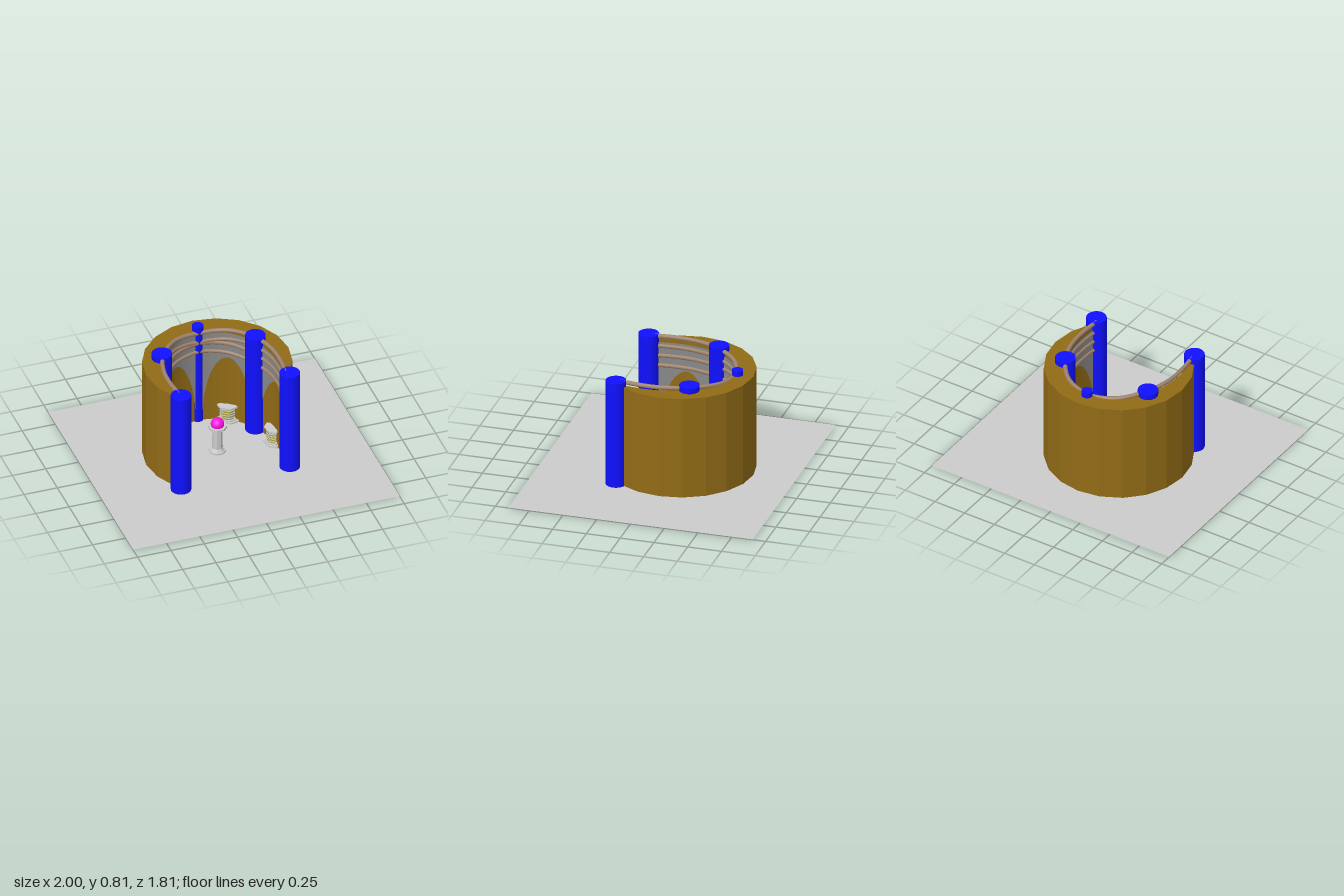
import * as THREE from 'three';

const CX = -0.03; // symmetry axis of the shrine
const mat = (color, extra = {}) => new THREE.MeshStandardMaterial({ color, ...extra });

// Inner wall line, traced from the left end round the back to the right end
const half = [[0.2, -0.4], [0.35, -0.225], [0.41, -0.05], [0.42, 0.1], [0.405, 0.27]];
const line = new THREE.CatmullRomCurve3([
  ...half.map(([x, z]) => new THREE.Vector3(CX - x, 0, z)).reverse(),
  new THREE.Vector3(CX, 0, -0.455),
  ...half.map(([x, z]) => new THREE.Vector3(CX + x, 0, z)),
]);
const along = (t) => line.getPoint((t + 1) / 2); // t: -1 left end, 0 back, 1 right end
const inward = (t) => {
  const d = line.getTangent((t + 1) / 2);
  return new THREE.Vector3(-d.z, 0, d.x).normalize();
};

export function createModel() {
  const model = new THREE.Group();
  const gold = mat(0x916b16, { side: THREE.DoubleSide });
  const blue = mat(0x1010ff);
  const brown = mat(0x9e826b);
  const grey = mat(0xcccccc, { flatShading: true });
  const white = mat(0xf2f2f2, { flatShading: true });
  const panelGrey = mat(0x888888, { side: THREE.DoubleSide });
  const olive = mat(0xa8a040, { flatShading: true });

  const add = (name, geometry, material, x = 0, y = 0, z = 0, parent = model) => {
    const mesh = new THREE.Mesh(geometry, material);
    mesh.name = name;
    mesh.position.set(x, y, z);
    parent.add(mesh);
    return mesh;
  };

  // Ground
  const ground = new THREE.PlaneGeometry(2, 1.81).rotateX(-Math.PI / 2);
  add('ground', ground, mat(0xcccccc, { side: THREE.DoubleSide }), 0, 0.002, 0);

  // Crescent wall: faceted outside, curved inside
  const outline = [];
  for (let i = -7; i <= 7; i++) {
    const a = (i * Math.PI) / 10;
    outline.push(new THREE.Vector2(CX + 0.533 * Math.sin(a), 0.06 + 0.533 * Math.cos(a)));
  }
  for (let i = 40; i >= 0; i--) {
    const p = along(i / 20 - 1);
    outline.push(new THREE.Vector2(p.x, -p.z));
  }
  const wall = new THREE.ExtrudeGeometry(new THREE.Shape(outline), { depth: 0.77, bevelEnabled: false });
  add('wall', wall.rotateX(-Math.PI / 2), gold);

  // Columns
  const columns = [
    [-0.43, 0.305, 0.073], [-0.385, -0.23, 0.073], [-0.03, -0.475, 0.04],
    [0.315, -0.225, 0.073], [0.39, 0.295, 0.073],
  ];
  for (const [x, z, r] of columns) {
    add('column', new THREE.CylinderGeometry(r, r, 0.81, 32), blue, x, 0.405, z);
  }

  // Each bay between columns: arched panel, four rails and a stand
  const bays = [[0, 0.4], [0.4, 1]];
  const rails = [[0.755, 0.79, 0.795], [0.68, 0.715, 0.72], [0.672, 0.645, 0.645], [0.6, 0.565, 0.57]];
  const standAt = [0.2, 0.64];
  for (const side of [-1, 1]) {
    bays.forEach(([a, b], bay) => {
      add('archPanel', archPanel(side * a, side * b), panelGrey);

      for (const heights of rails) {
        const pts = [];
        for (let i = 0; i <= 8; i++) {
          const t = side * (a + ((b - a) * i) / 8);
          const p = along(t).addScaledVector(inward(t), 0.004);
          p.y = THREE.MathUtils.lerp(heights[bay], heights[bay + 1], i / 8);
          pts.push(p);
        }
        add('rail', new THREE.TubeGeometry(new THREE.CatmullRomCurve3(pts), 24, 0.016, 10), brown);
      }

      const t = side * standAt[bay];
      const n = inward(t);
      const stand = makeStand(add, grey, olive);
      stand.position.copy(along(t)).addScaledVector(n, 0.022);
      stand.rotation.y = Math.atan2(n.x, n.z);
      model.add(stand);
    });
  }

  // Central pedestal with an orb
  const pedestal = new THREE.Group();
  pedestal.name = 'pedestal';
  pedestal.position.set(CX, 0, -0.055);
  model.add(pedestal);
  const tiers = [
    [0, 0.015, 0.062, 0.062], [0.015, 0.035, 0.052, 0.04], [0.035, 0.185, 0.038, 0.036],
    [0.185, 0.203, 0.038, 0.055], [0.203, 0.22, 0.068, 0.068],
  ];
  for (const [y0, y1, r0, r1] of tiers) {
    const tier = new THREE.CylinderGeometry(r1, r0, y1 - y0, 8).rotateY(Math.PI / 8);
    add('pedestalTier', tier, white, 0, (y0 + y1) / 2, 0, pedestal);
  }
  add('orb', new THREE.SphereGeometry(0.048, 32, 20), mat(0xff10e0), 0, 0.235, 0, pedestal);

  return model;
}

// Curved panel with an elliptical opening
function archPanel(t0, t1) {
  const steps = 48, pos = [], index = [];
  for (let i = 0; i <= steps; i++) {
    const s = i / steps;
    const t = t0 + (t1 - t0) * s;
    const p = along(t).addScaledVector(inward(t), 0.008);
    const k = (s - 0.5) / 0.44;
    const low = 0.54 * Math.sqrt(Math.max(0, 1 - k * k));
    pos.push(p.x, low, p.z, p.x, 0.75, p.z);
    if (i < steps) {
      const j = i * 2;
      index.push(j, j + 2, j + 1, j + 1, j + 2, j + 3);
    }
  }
  const g = new THREE.BufferGeometry();
  g.setAttribute('position', new THREE.Float32BufferAttribute(pos, 3));
  g.setIndex(index);
  g.computeVertexNormals();
  return g;
}

// Low hexagonal stand with a ribbed body, flattened against the wall
function makeStand(add, grey, olive) {
  const stand = new THREE.Group();
  stand.name = 'stand';
  const hex = (name, r, y0, y1, material) => {
    const g = new THREE.CylinderGeometry(r, r, y1 - y0, 6).rotateY(Math.PI / 2);
    add(name, g.scale(1, 1, 0.62), material, 0, (y0 + y1) / 2, 0, stand);
  };
  hex('standBase', 0.085, 0.008, 0.02, grey);
  hex('standBaseStep', 0.068, 0.02, 0.03, grey);
  hex('standBody', 0.05, 0.03, 0.12, olive);
  for (let i = 0; i < 4; i++) hex('standRib', 0.057, 0.042 + i * 0.02, 0.048 + i * 0.02, grey);
  hex('standTopStep', 0.06, 0.115, 0.123, grey);
  hex('standTop', 0.075, 0.123, 0.136, grey);
  return stand;
}
